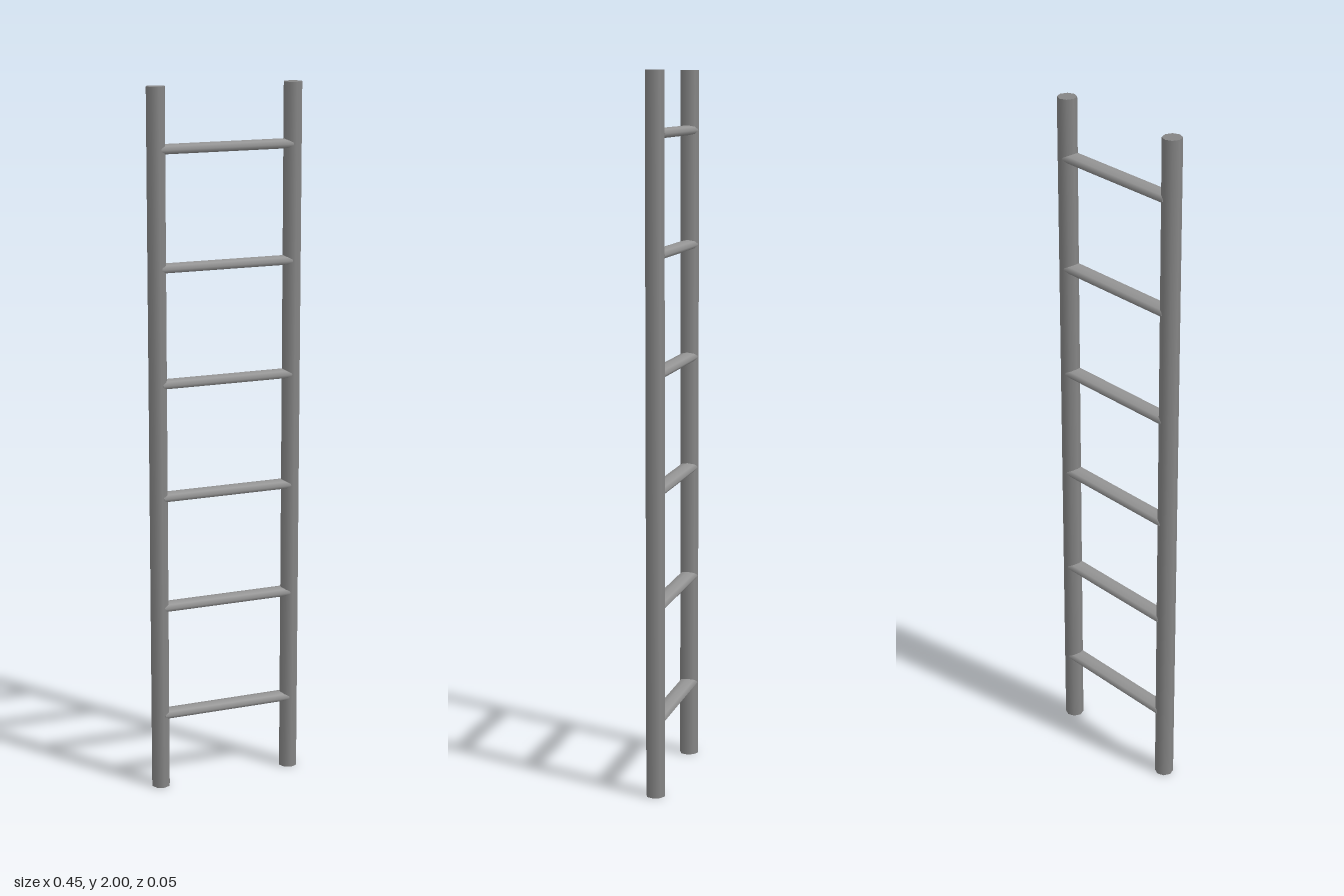
import * as THREE from 'three';

export function createModel() {
  const group = new THREE.Group();
  const railMaterial = new THREE.MeshStandardMaterial({ color: 0x858585 });
  const rungMaterial = new THREE.MeshStandardMaterial({ color: 0x949494 });

  // Two upright eight-sided rails
  const railGeometry = new THREE.CylinderGeometry(0.027, 0.027, 2, 8);
  for (const side of [-1, 1]) {
    const rail = new THREE.Mesh(railGeometry, railMaterial);
    rail.name = side > 0 ? 'leftRail' : 'rightRail';
    rail.position.set(side * 0.2, 1, 0);
    group.add(rail);
  }

  // Six flattened rungs, half as tall as they are deep
  const rungGeometry = new THREE.CylinderGeometry(0.027, 0.027, 0.386, 8);
  rungGeometry.rotateZ(Math.PI / 2);
  rungGeometry.scale(1, 0.52, 1);
  for (let i = 0; i < 6; i++) {
    const rung = new THREE.Mesh(rungGeometry, rungMaterial);
    rung.name = `rung${i + 1}`;
    rung.position.y = 0.218 + i * 0.3228;
    group.add(rung);
  }

  return group;
}
